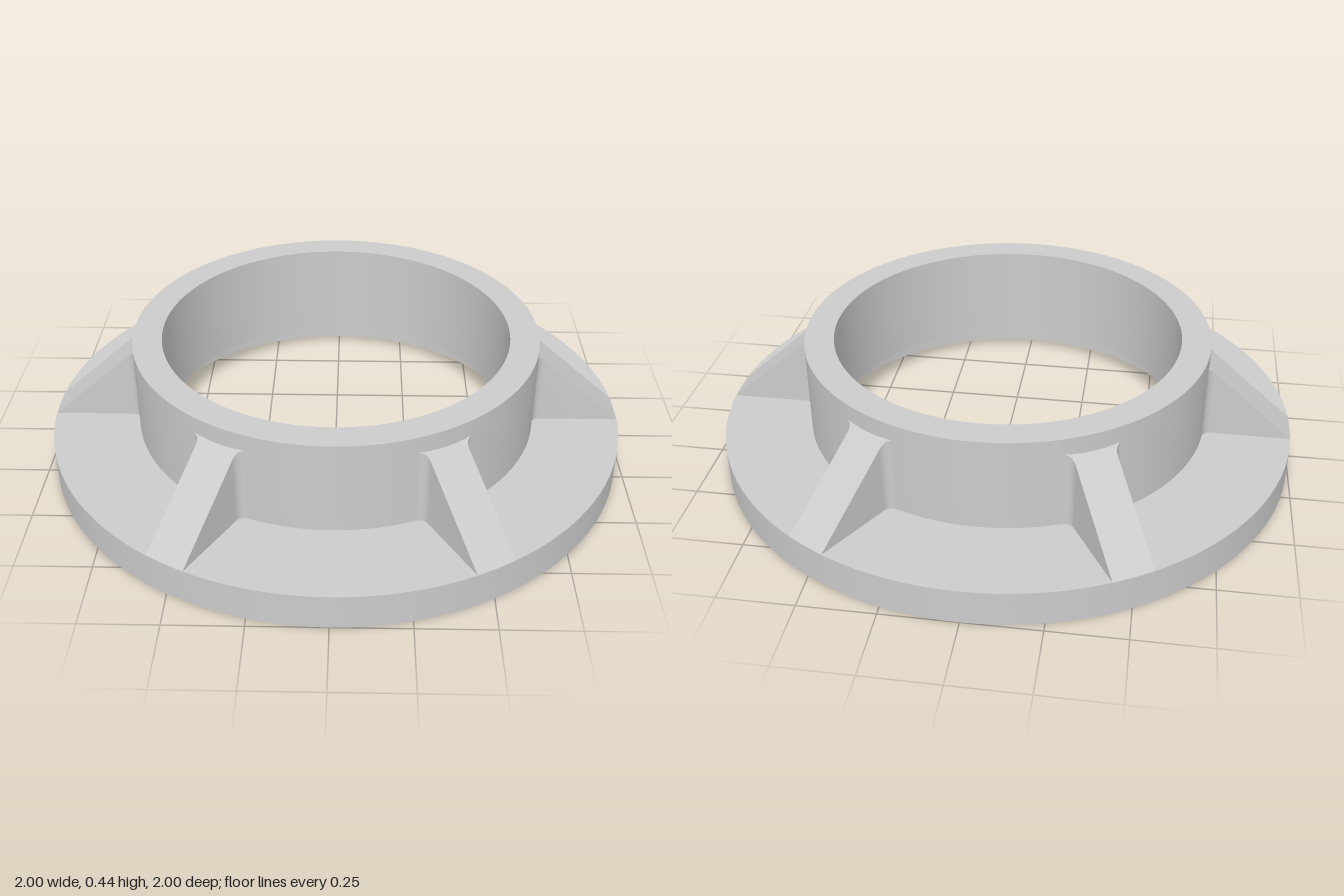
import * as THREE from 'three';
import { toCreasedNormals } from 'three/addons/utils/BufferGeometryUtils.js';

const HUB_R = 0.7, FLANGE_TOP = 0.12, RIB_HALF = 0.07, FILLET = 0.03;
const TIP = Math.sqrt(1 - RIB_HALF ** 2); // where the rib's corners meet the rim
const SLOPE = 0.26 / 0.3;

// Plan outline of a rib, flaring into the hub through fillets
function ribOutline() {
  const cz = RIB_HALF + FILLET;
  const cx = Math.sqrt((HUB_R + FILLET) ** 2 - cz ** 2);
  const end = Math.PI + Math.atan2(cz, cx);
  const side = [];
  for (let i = 0; i <= 8; i++) {
    const a = 1.5 * Math.PI + (end - 1.5 * Math.PI) * (i / 8);
    side.push(new THREE.Vector2(cx + FILLET * Math.cos(a), cz + FILLET * Math.sin(a)));
  }
  side.push(new THREE.Vector2(0.66, side[8].y));
  side.unshift(new THREE.Vector2(TIP, RIB_HALF));
  const mirrored = side.map((p) => new THREE.Vector2(p.x, -p.y)).reverse();
  return new THREE.Shape([...side, ...mirrored]);
}

// Extrude the outline upward, then slope its top down to the rim
function ribGeometry() {
  const g = new THREE.ExtrudeGeometry(ribOutline(), { depth: 1, bevelEnabled: false });
  g.rotateX(-Math.PI / 2);
  const p = g.attributes.position;
  for (let i = 0; i < p.count; i++) {
    p.setY(i, p.getY(i) > 0.5 ? FLANGE_TOP + (TIP - p.getX(i)) * SLOPE : FLANGE_TOP - 0.01);
  }
  return toCreasedNormals(g, 0.5);
}

export function createModel() {
  const group = new THREE.Group();
  group.name = 'ribbedFlange';
  const material = new THREE.MeshStandardMaterial({ color: 0xcccccc });

  // Flange, hub, through bore and the wider recess underneath
  const profile = [
    [HUB_R, 0], [1, 0], [1, FLANGE_TOP], [HUB_R, FLANGE_TOP], [HUB_R, 0.44],
    [0.6, 0.44], [0.6, 0.1], [HUB_R, 0.1], [HUB_R, 0],
  ].map(([r, y]) => new THREE.Vector2(r, y));
  const body = new THREE.Mesh(toCreasedNormals(new THREE.LatheGeometry(profile, 120), 0.5), material);
  body.name = 'flangeAndHub';
  group.add(body);

  // Six gusset ribs around the hub
  const rib = ribGeometry();
  for (let i = 0; i < 6; i++) {
    const mesh = new THREE.Mesh(rib, material);
    mesh.name = `rib${i + 1}`;
    mesh.rotation.y = (i * Math.PI) / 3;
    group.add(mesh);
  }
  return group;
}
